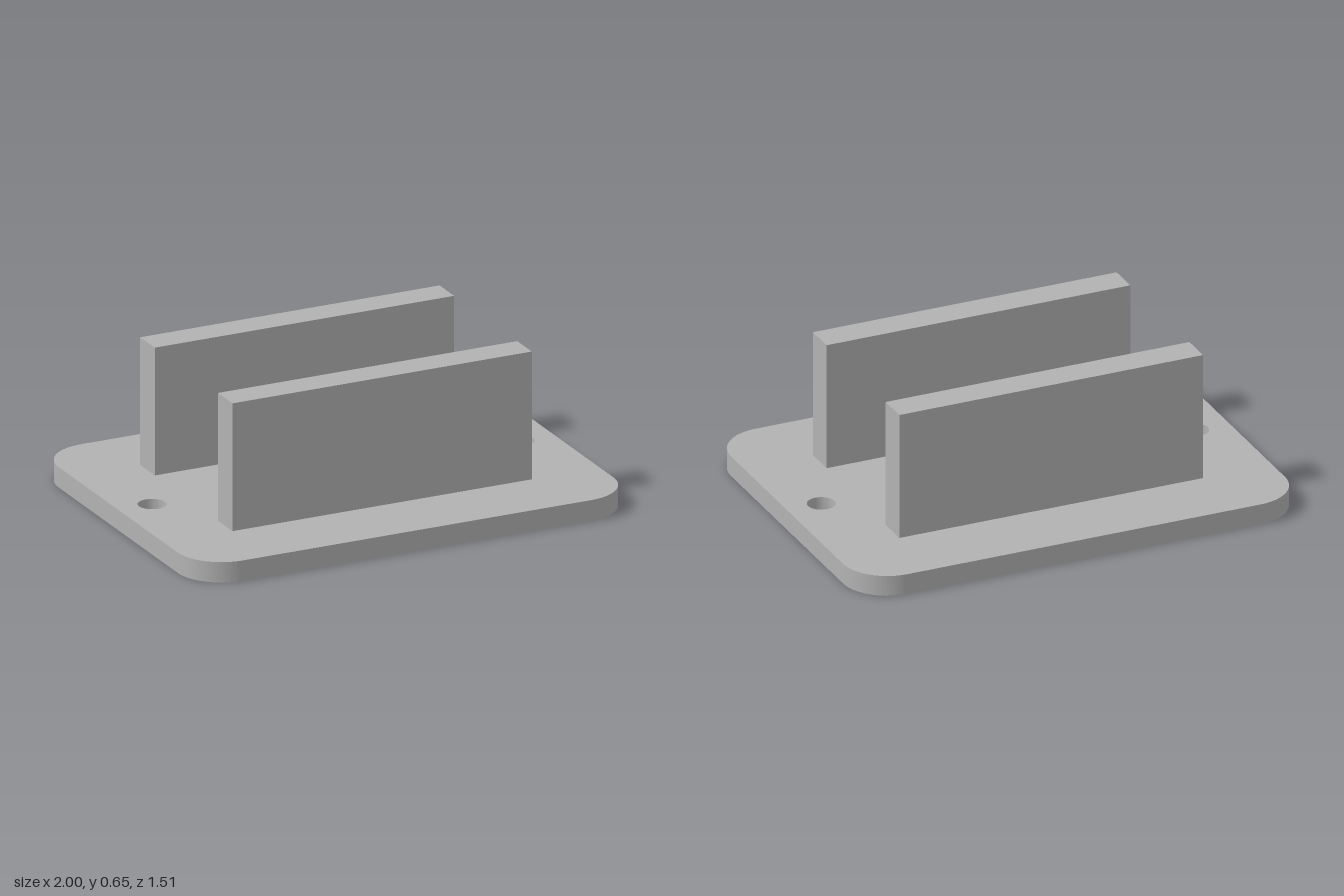
import * as THREE from 'three';
import { toCreasedNormals } from 'three/addons/utils/BufferGeometryUtils.js';

const W = 1, D = 0.757, R = 0.2;           // plate half width, half depth, corner radius
const PLATE_H = 0.09, WALL_TOP = 0.653;

export function createModel() {
  const group = new THREE.Group();
  const grey = new THREE.MeshStandardMaterial({ color: 0xb2b2b2 });
  grey.name = 'grey';

  // Rounded base plate with two screw holes
  const outline = new THREE.Shape();
  outline.absarc(W - R, D - R, R, 0, Math.PI / 2);
  outline.absarc(-W + R, D - R, R, Math.PI / 2, Math.PI);
  outline.absarc(-W + R, -D + R, R, Math.PI, Math.PI * 1.5);
  outline.absarc(W - R, -D + R, R, Math.PI * 1.5, Math.PI * 2);
  outline.closePath();
  for (const side of [-1, 1]) {
    const hole = new THREE.Path();
    hole.absarc(side * 0.845, 0, 0.06, 0, Math.PI * 2, true);
    outline.holes.push(hole);
  }
  const plateGeometry = new THREE.ExtrudeGeometry(outline, {
    depth: PLATE_H, bevelEnabled: false, curveSegments: 20,
  });
  plateGeometry.rotateX(-Math.PI / 2);
  const plate = new THREE.Mesh(toCreasedNormals(plateGeometry, Math.PI / 5), grey);
  plate.name = 'basePlate';
  group.add(plate);

  // Two parallel upright walls
  const wallGeometry = new THREE.BoxGeometry(1.375, WALL_TOP - PLATE_H, 0.136);
  for (const side of [-1, 1]) {
    const wall = new THREE.Mesh(wallGeometry, grey);
    wall.name = side > 0 ? 'frontWall' : 'backWall';
    wall.position.set(0, (WALL_TOP + PLATE_H) / 2, side * 0.363);
    group.add(wall);
  }
  return group;
}
